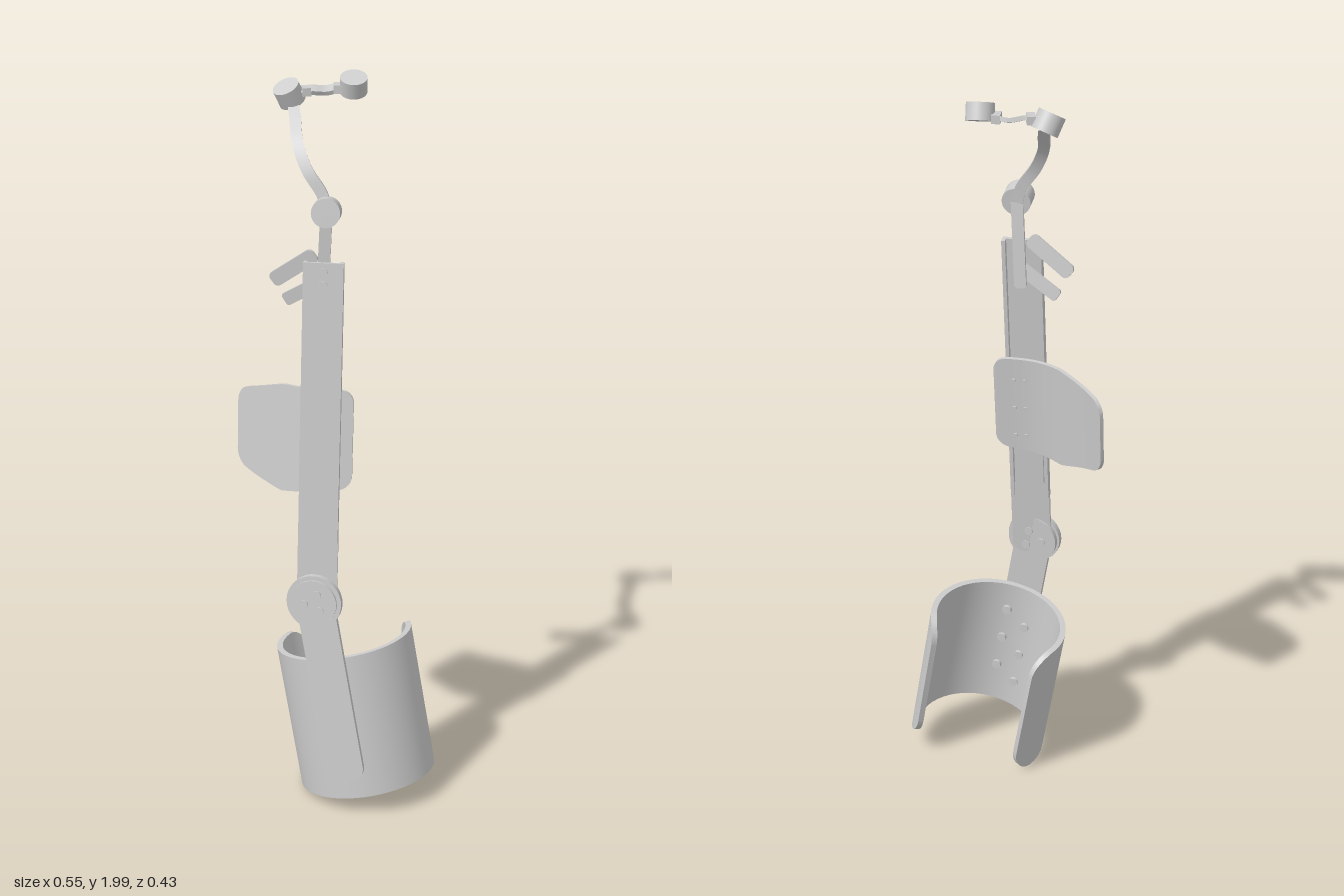
import * as THREE from 'three';
import { toCreasedNormals } from 'three/addons/utils/BufferGeometryUtils.js';

const V = (x, y, z) => new THREE.Vector3(x, y, z);
const UP = V(0, 1, 0);
const metal = new THREE.MeshStandardMaterial({ color: 0xcccccc });
metal.name = 'light grey';

function add(parent, name, geometry, pos = V(0, 0, 0)) {
  const mesh = new THREE.Mesh(geometry, metal);
  mesh.name = name;
  mesh.position.copy(pos);
  parent.add(mesh);
  return mesh;
}

// Cylinder centred at pos along an axis
function disc(parent, name, r, h, pos, axis) {
  const m = add(parent, name, new THREE.CylinderGeometry(r, r, h, 32), pos);
  m.quaternion.setFromUnitVectors(UP, axis.clone().normalize());
  return m;
}

// Flat plate with rounded corners, centred, thin along z
function plate(w, h, r, t) {
  const x = w / 2, y = h / 2, q = Math.PI / 2;
  const s = new THREE.Shape();
  s.absarc(x - r, y - r, r, 0, q);
  s.absarc(r - x, y - r, r, q, 2 * q);
  s.absarc(r - x, r - y, r, 2 * q, 3 * q);
  s.absarc(x - r, r - y, r, 3 * q, 4 * q);
  return new THREE.ExtrudeGeometry(s, { depth: t, bevelEnabled: false, curveSegments: 8 }).translate(0, 0, -t / 2);
}

// Plate running from a to b, facing roughly +z
function bar(parent, name, a, b, w, t, r) {
  const d = b.clone().sub(a), len = d.length();
  d.normalize();
  const x = d.clone().cross(V(0, 0, 1)).normalize();
  const m = add(parent, name, plate(w, len, r, t), a.clone().add(b).multiplyScalar(0.5));
  m.quaternion.setFromRotationMatrix(new THREE.Matrix4().makeBasis(x, d, x.clone().cross(d)));
  return m;
}

// Closed shell swept along points; lo and hi give the extent along the width direction
function sheet(points, lo, hi, width, thick) {
  const n = points.length, pos = [], idx = [];
  points.forEach((p, i) => {
    const t = points[Math.min(i + 1, n - 1)].clone().sub(points[Math.max(i - 1, 0)]).normalize();
    const u = width.clone().addScaledVector(t, -width.dot(t)).normalize();
    const out = t.clone().cross(u).multiplyScalar(thick / 2);
    for (const [o, e] of [[1, hi(i)], [-1, hi(i)], [-1, lo(i)], [1, lo(i)]]) {
      pos.push(...p.clone().addScaledVector(out, o).addScaledVector(u, e).toArray());
    }
  });
  const quad = (a, b, c, d) => idx.push(a, b, c, a, c, d);
  for (let i = 0; i < n - 1; i++) {
    for (let j = 0; j < 4; j++) {
      const k = (j + 1) % 4, a = i * 4, b = a + 4;
      quad(a + j, b + j, b + k, a + k);
    }
  }
  const e = (n - 1) * 4;
  quad(0, 1, 2, 3);
  quad(e, e + 3, e + 2, e + 1);
  const g = new THREE.BufferGeometry();
  g.setAttribute('position', new THREE.Float32BufferAttribute(pos, 3));
  g.setIndex(idx);
  return toCreasedNormals(g, 0.6);
}

// Amount a straight edge drops at distance d from a corner of radius c
const cornerDrop = (d, c) => (d >= c ? 0 : c - Math.sqrt(Math.max(0, c * c - (c - d) ** 2)));

// Curved strap through a few points
function strap(parent, name, pts, width, w, t) {
  const p = new THREE.CatmullRomCurve3(pts).getSpacedPoints(24);
  return add(parent, name, sheet(p, () => -w / 2, () => w / 2, width, t));
}

export function createModel() {
  const model = new THREE.Group();
  model.name = 'legBrace';

  // Lower section: open cuff, strut and hinge share one tilted frame
  const lower = new THREE.Group();
  lower.name = 'lowerSection';
  lower.position.set(0.0475, 0.245, 0);
  lower.quaternion.setFromUnitVectors(UP, V(-0.18, 1, -0.1).normalize());
  model.add(lower);

  const R = 0.181, from = THREE.MathUtils.degToRad(-134), to = THREE.MathUtils.degToRad(123), N = 56;
  const angles = Array.from({ length: N + 1 }, (_, i) =>
    (from + to) / 2 - ((to - from) / 2) * Math.cos((Math.PI * i) / N));
  const half = (i) => 0.205 - cornerDrop(R * Math.min(angles[i] - from, to - angles[i]), 0.07);
  add(lower, 'lowerCuff', sheet(angles.map((a) => V(R * Math.sin(a), 0, R * Math.cos(a))),
    (i) => -half(i), half, UP, 0.016));

  const front = new THREE.Group();
  front.name = 'lowerStrutAssembly';
  front.rotation.y = -0.16;
  lower.add(front);
  add(front, 'lowerStrut', plate(0.105, 0.55, 0.035, 0.014), V(0, 0.13, 0.195));
  const hingeY = 0.378, Z = V(0, 0, 1);
  disc(front, 'hingeDisc', 0.076, 0.016, V(0, hingeY, 0.2), Z);
  disc(front, 'hingeCap', 0.064, 0.008, V(0, hingeY, 0.21), Z);
  disc(front, 'hingeBackDisc', 0.07, 0.014, V(0, hingeY, 0.183), Z);
  for (let k = 0; k < 3; k++) {
    const a = Math.PI + (k * Math.PI * 2) / 3;
    for (const z of [0.215, 0.175]) {
      disc(front, 'hingeScrew', 0.012, 0.006, V(0.027 * Math.cos(a), hingeY + 0.027 * Math.sin(a), z), Z);
    }
  }
  for (const y of [-0.1, 0, 0.1]) {
    for (const s of [-1, 1]) disc(front, 'cuffRivet', 0.013, 0.012, V(s * 0.03, y + s * 0.02, 0.168), Z);
  }

  // Upper section: channel, slider and side pad
  const upper = new THREE.Group();
  upper.name = 'upperSection';
  upper.position.set(-0.0475, 0.615, 0.15);
  upper.quaternion.setFromUnitVectors(UP, V(0.013, 1, -0.096).normalize());
  model.add(upper);

  const u = new THREE.Shape([[-0.053, -0.008], [0.053, -0.008], [0.053, 0.018], [0.043, 0.018],
    [0.043, 0.003], [-0.043, 0.003], [-0.043, 0.018], [-0.053, 0.018]].map(([x, y]) => new THREE.Vector2(x, y)));
  add(upper, 'channel', new THREE.ExtrudeGeometry(u, { depth: 0.785, bevelEnabled: false }).rotateX(-Math.PI / 2),
    V(0, 0.155, 0));
  add(upper, 'hingePlate', plate(0.108, 0.23, 0.03, 0.012), V(0, 0.085, -0.006));
  add(upper, 'slider', plate(0.08, 0.3, 0.03, 0.008), V(0, 0.3, -0.009));
  for (const y of [0.88, 0.915]) disc(upper, 'channelScrew', 0.012, 0.006, V(0, y, 0.009), Z);

  const path = new THREE.CatmullRomCurve3([[-0.235, -0.162], [-0.18, -0.112], [-0.12, -0.072],
    [-0.06, -0.039], [-0.01, -0.026], [0.085, -0.024]].map(([x, z]) => V(x, 0.445, z)));
  const length = path.getLength(), M = 40;
  const s = Array.from({ length: M + 1 }, (_, i) => (1 - Math.cos((Math.PI * i) / M)) / 2);
  const drop = (i) => cornerDrop(length * Math.min(s[i], 1 - s[i]), 0.035);
  const taper = (i) => Math.min(1, s[i] / 0.45);
  add(upper, 'sidePad', sheet(s.map((v) => path.getPointAt(v)),
    (i) => -0.095 - 0.05 * taper(i) + 0.025 * Math.max(0, (s[i] - 0.45) / 0.55) + drop(i),
    (i) => 0.11 + 0.04 * taper(i) - drop(i), UP, 0.011));
  for (const y of [0.36, 0.445, 0.53]) {
    for (const x of [0, 0.03]) disc(upper, 'padRivet', 0.006, 0.006, V(x, y, -0.031), Z);
  }

  // Clips behind the channel top, and the link up to the first joint
  bar(model, 'upperClip', V(-0.06, 1.565, 0.036), V(-0.175, 1.483, 0.014), 0.042, 0.008, 0.014);
  bar(model, 'lowerClip', V(-0.03, 1.495, 0.02), V(-0.145, 1.425, -0.004), 0.036, 0.008, 0.008);
  bar(model, 'armLink', V(-0.032, 1.69, 0.008), V(-0.045, 1.44, -0.004), 0.032, 0.009, 0.01);

  // Jointed arm with three drums
  const drums = [
    [0.038, 0.053, V(-0.031, 1.677, 0.029), V(0, 0.14, 1)],
    [0.036, 0.05, V(-0.145, 1.943, -0.145), V(-0.38, 1, 0.42)],
    [0.036, 0.045, V(0.022, 1.966, -0.166), V(0.04, 1, 0.38)],
  ];
  for (const [r, h, p, axis] of drums) {
    disc(model, 'jointDrum', r, h, p, axis);
  }
  strap(model, 'curvedArm', [V(-0.034, 1.675, 0.003), V(-0.045, 1.715, -0.002), V(-0.085, 1.775, -0.014),
    V(-0.112, 1.835, -0.045), V(-0.126, 1.895, -0.105), V(-0.135, 1.925, -0.14)], V(1, 0, 0), 0.03, 0.012);
  strap(model, 'shortArm', [V(-0.125, 1.948, -0.145), V(-0.09, 1.953, -0.15), V(-0.05, 1.949, -0.166),
    V(-0.02, 1.955, -0.17), V(0.01, 1.958, -0.168)], V(0.2, -0.35, 1), 0.032, 0.012);
  // Sockets where the short arm meets its drums
  add(model, 'armSocket', new THREE.BoxGeometry(0.022, 0.022, 0.038), V(-0.102, 1.951, -0.148)).rotation.y = 0.3;
  add(model, 'armSocket', new THREE.BoxGeometry(0.022, 0.022, 0.038), V(-0.02, 1.955, -0.169)).rotation.y = 0.1;

  return model;
}
